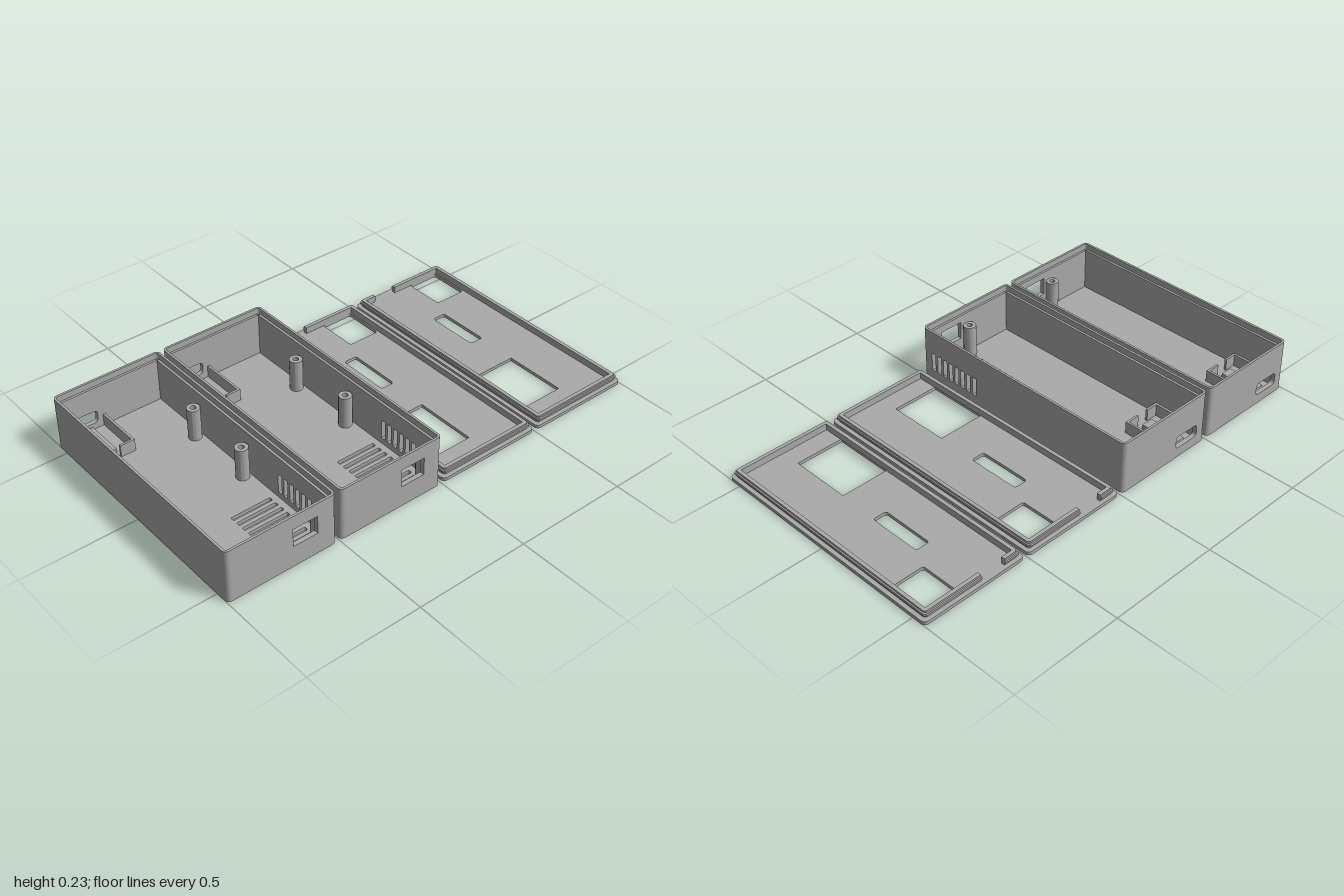
import * as THREE from 'three';

const W = 0.2425, D = 0.563;      // half width and half depth of each shell
const T = 0.02;                   // wall thickness, also the outer corner radius
const FLOOR = 0.016, STEP = 0.208, TOP = 0.235;

const grey = new THREE.MeshStandardMaterial({ color: 0xaaaaaa });
grey.name = 'grey plastic';

// Rectangle outline between two corners, with optional rounded corners
function rect(path, x0, y0, x1, y1, r = 0) {
  if (!r) {
    path.moveTo(x0, y0).lineTo(x1, y0).lineTo(x1, y1).lineTo(x0, y1).closePath();
    return path;
  }
  path.moveTo(x0 + r, y0);
  path.absarc(x1 - r, y0 + r, r, -Math.PI / 2, 0, false);
  path.absarc(x1 - r, y1 - r, r, 0, Math.PI / 2, false);
  path.absarc(x0 + r, y1 - r, r, Math.PI / 2, Math.PI, false);
  path.absarc(x0 + r, y0 + r, r, Math.PI, Math.PI * 1.5, false);
  path.closePath();
  return path;
}
const shape = (...a) => rect(new THREE.Shape(), ...a);
const hole = (...a) => rect(new THREE.Path(), ...a);
// Plan-view opening given in x and z
const planHole = (x0, z0, x1, z1, r) => hole(x0, -z1, x1, -z0, r);

const extrude = (s, depth) =>
  new THREE.ExtrudeGeometry(s, { depth, bevelEnabled: false, curveSegments: 8 });

function add(group, name, geometry, x = 0, y = 0, z = 0) {
  const mesh = new THREE.Mesh(geometry, grey);
  mesh.name = name;
  mesh.position.set(x, y, z);
  group.add(mesh);
  return mesh;
}
// Horizontal slab from a plan outline, from y0 up to y1
const slab = (group, name, s, y0, y1) =>
  add(group, name, extrude(s, y1 - y0).rotateX(-Math.PI / 2), 0, y0);

function block(group, name, x0, x1, y0, y1, z0, z1) {
  add(group, name, new THREE.BoxGeometry(x1 - x0, y1 - y0, z1 - z0),
    (x0 + x1) / 2, (y0 + y1) / 2, (z0 + z1) / 2);
}

function makeBox() {
  const g = new THREE.Group();

  // Floor with ventilation slots
  const floor = shape(-W, -D, W, D, T);
  for (let i = 0; i < 8; i++) {
    const z = 0.236 + i * 0.0352;
    floor.holes.push(planHole(0.015, z - 0.009, 0.195, z + 0.009, 0.006));
  }
  slab(g, 'floor', floor, 0, FLOOR);

  // Walls with their openings
  const front = shape(-W + T, FLOOR, W - T, STEP);
  front.holes.push(hole(0.047, 0.095, 0.157, 0.175));
  add(g, 'frontWall', extrude(front, T), 0, 0, D - T);

  const back = shape(-W + T, FLOOR, W - T, STEP);
  back.holes.push(hole(-0.192, 0.044, -0.068, 0.1, 0.016));
  add(g, 'backWall', extrude(back, T), 0, 0, -D);

  const left = shape(-D + T, FLOOR, D - T, STEP);
  for (let i = 0; i < 8; i++) {
    const z = 0.256 + i * 0.035;
    left.holes.push(hole(-z - 0.0105, 0.042, -z + 0.0105, 0.128));
  }
  add(g, 'leftVentWall', extrude(left, T).rotateY(Math.PI / 2), W - T);
  add(g, 'rightWall',
    extrude(shape(-D + T, FLOOR, D - T, STEP), T).rotateY(Math.PI / 2), -W);

  // Rounded corner posts
  [[1, 1], [-1, 1], [-1, -1], [1, -1]].forEach(([sx, sy], i) => {
    const pie = new THREE.Shape();
    const cx = sx * (W - T), cy = sy * (D - T), a = i * Math.PI / 2;
    pie.moveTo(cx, cy);
    pie.absarc(cx, cy, T, a, a + Math.PI / 2, false);
    pie.closePath();
    slab(g, 'corner', pie, FLOOR, STEP);
  });

  // Thin stepped rim that receives the lid
  const rim = shape(-W, -D, W, D, T);
  rim.holes.push(hole(-W + 0.01, -D + 0.01, W - 0.01, D - 0.01, 0.01));
  slab(g, 'rim', rim, STEP, TOP);

  // Screw posts
  for (const [x, z] of [[0.19, -0.25], [0.19, 0.064], [0.19, 0.52], [0.017, 0.52]]) {
    const ring = new THREE.Shape().absarc(x, -z, 0.028, 0, Math.PI * 2, false);
    ring.holes.push(new THREE.Path().absarc(x, -z, 0.012, 0, Math.PI * 2, true));
    slab(g, 'screwPost', ring, FLOOR, 0.16);
  }

  // Cradle for a small board behind the port
  const h = 0.07;
  block(g, 'cradleSide', -0.22, -0.21, FLOOR, h, -0.545, -0.328);
  block(g, 'cradleSide', -0.046, -0.036, FLOOR, h, -0.545, -0.328);
  block(g, 'cradleFront', -0.21, -0.157, FLOOR, h, -0.338, -0.328);
  block(g, 'cradleFront', -0.102, -0.046, FLOOR, h, -0.338, -0.328);
  block(g, 'cradleRest', -0.156, -0.102, FLOOR, 0.038, -0.53, -0.36);
  return g;
}

// Lip outline running round the lid, open at the back for the port
function lip(outer, inner) {
  const a = W - outer, b = D - outer, c = W - inner, d = D - inner;
  const g0 = -0.157, g1 = -0.042, k = 0.008;
  return new THREE.Shape([
    [g1, b], [g1, d], [c, d], [c, -d], [-c, -d], [-c, d], [g0, d], [g0, b],
    [-a + k, b], [-a, b - k], [-a, -b + k], [-a + k, -b],
    [a - k, -b], [a, -b + k], [a, b - k], [a - k, b],
  ].map(([x, y]) => new THREE.Vector2(x, y)));
}

function makeLid() {
  const g = new THREE.Group();

  // Plate with button, display and sensor openings
  const plate = shape(-W, -D, W, D, T);
  plate.holes.push(
    planHole(0.053, -0.53, 0.203, -0.345, 0.012),
    planHole(-0.049, -0.263, 0.014, -0.022, 0.012),
    planHole(-0.213, 0.163, 0.006, 0.44));
  slab(g, 'lidPlate', plate, 0, 0.015);

  // Lip with a snap bead around it
  slab(g, 'lidLip', lip(0.018, 0.034), 0.015, 0.045);
  slab(g, 'snapBead', lip(0.012, 0.02), 0.027, 0.037);
  return g;
}

export function createModel() {
  const model = new THREE.Group();
  model.name = 'enclosureSet';
  const parts = [['boxA', makeBox, -0.7575], ['boxB', makeBox, -0.2525],
    ['lidA', makeLid, 0.2525], ['lidB', makeLid, 0.7575]];
  for (const [name, make, x] of parts) {
    const part = make();
    part.name = name;
    part.position.x = x;
    model.add(part);
  }
  return model;
}
